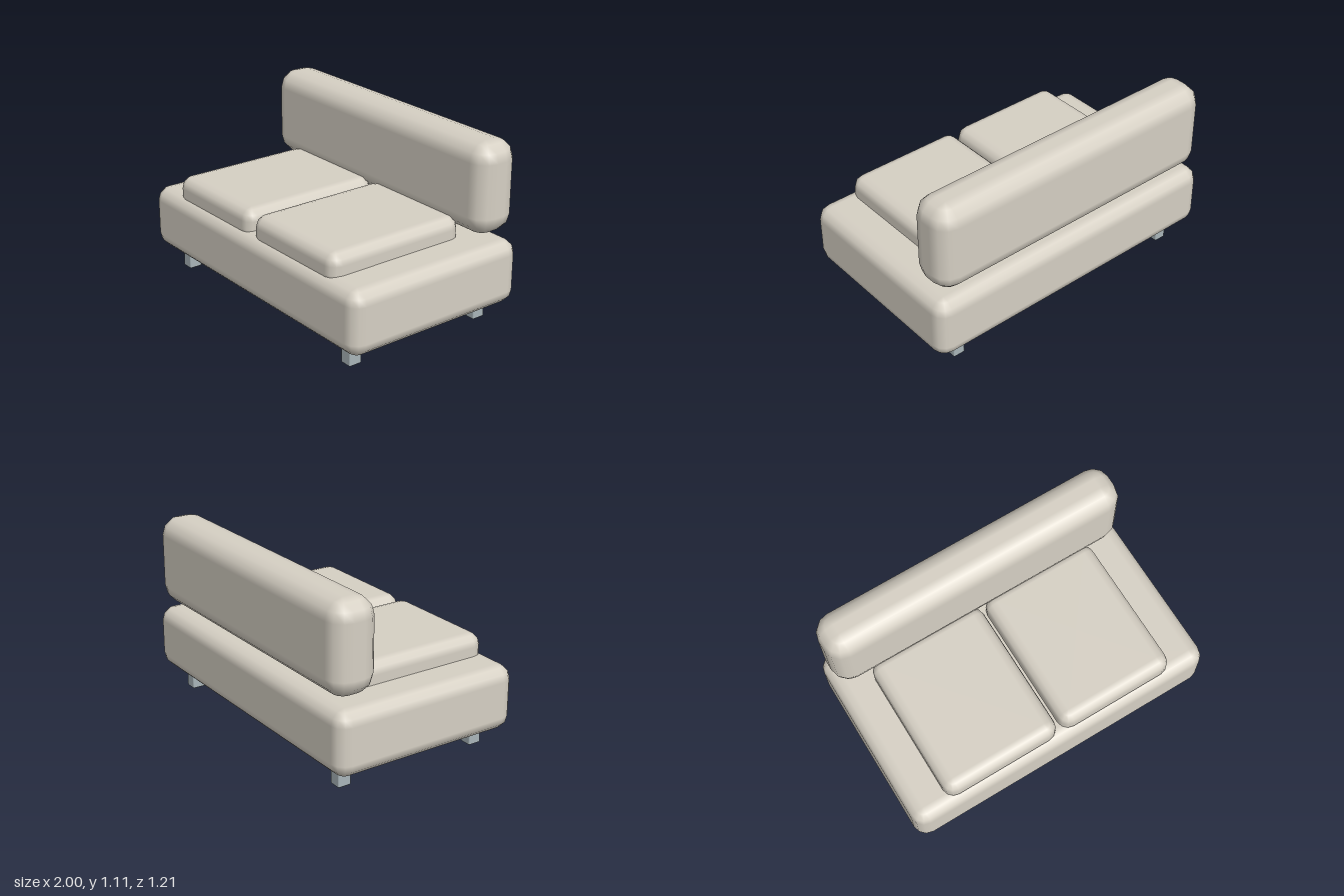
import * as THREE from 'three';

const fabric = new THREE.MeshStandardMaterial({ color: 0xd6d0c4 });
const metal = new THREE.MeshStandardMaterial({ color: 0xa9b5b9 });
const STEPS = 3; // facets across each rounded edge

// Bevelled block: a sphere whose eight octants are pushed apart to the box corners
function bevelledBlock(w, h, d, r) {
  const n = STEPS + 1, cols = 4 * n, rows = 2 * n + 1, quarter = Math.PI / 2;
  const geometry = new THREE.SphereGeometry(1, cols, rows);
  const { position, normal } = geometry.attributes;
  for (let row = 0; row <= rows; row++) {
    // the first and last rows are the centres of the flat top and bottom
    const cap = row === 0 || row === rows;
    const lower = row > n ? 1 : 0;
    const theta = cap ? lower * Math.PI : (lower + ((row - 1) % n) / STEPS) * quarter;
    for (let col = 0; col <= cols; col++) {
      const q = Math.floor((col % cols) / n);
      const phi = (q + (col % n) / STEPS) * quarter;
      const mid = (q + 0.5) * quarter;
      const x = -Math.cos(phi) * Math.sin(theta);
      const y = Math.cos(theta);
      const z = Math.sin(phi) * Math.sin(theta);
      const sx = cap ? 0 : -Math.sign(Math.cos(mid));
      const sz = cap ? 0 : Math.sign(Math.sin(mid));
      const sy = lower ? -1 : 1;
      const i = row * (cols + 1) + col;
      position.setXYZ(i, sx * (w / 2 - r) + x * r, sy * (h / 2 - r) + y * r, sz * (d / 2 - r) + z * r);
      normal.setXYZ(i, x, y, z);
    }
  }
  return geometry;
}

// Block given by its extents on each axis
function addBlock(group, name, [x0, x1], [y0, y1], [z0, z1], r, material) {
  const mesh = new THREE.Mesh(bevelledBlock(x1 - x0, y1 - y0, z1 - z0, r), material);
  mesh.position.set((x0 + x1) / 2, (y0 + y1) / 2, (z0 + z1) / 2);
  mesh.name = name;
  group.add(mesh);
}

export function createModel() {
  const sofa = new THREE.Group();
  sofa.name = 'sofa';

  // Upholstered base and backrest
  addBlock(sofa, 'base', [-1, 1], [0.127, 0.518], [-0.604, 0.604], 0.085, fabric);
  addBlock(sofa, 'backrest', [-0.97, 0.97], [0.565, 1.114], [-0.604, -0.314], 0.113, fabric);

  // Two loose seat cushions, sunk slightly into the base
  addBlock(sofa, 'rightSeatCushion', [-0.768, -0.014], [0.45, 0.645], [-0.367, 0.562], 0.072, fabric);
  addBlock(sofa, 'leftSeatCushion', [0.01, 0.764], [0.45, 0.645], [-0.367, 0.562], 0.072, fabric);

  // Four short legs
  for (const [side, x] of [['Left', 0.8], ['Right', -0.8]]) {
    for (const [end, z] of [['front', 0.46], ['back', -0.458]]) {
      addBlock(sofa, `${end}${side}Leg`, [x - 0.038, x + 0.038], [0.003, 0.15], [z - 0.041, z + 0.041], 0.007, metal);
    }
  }
  return sofa;
}
